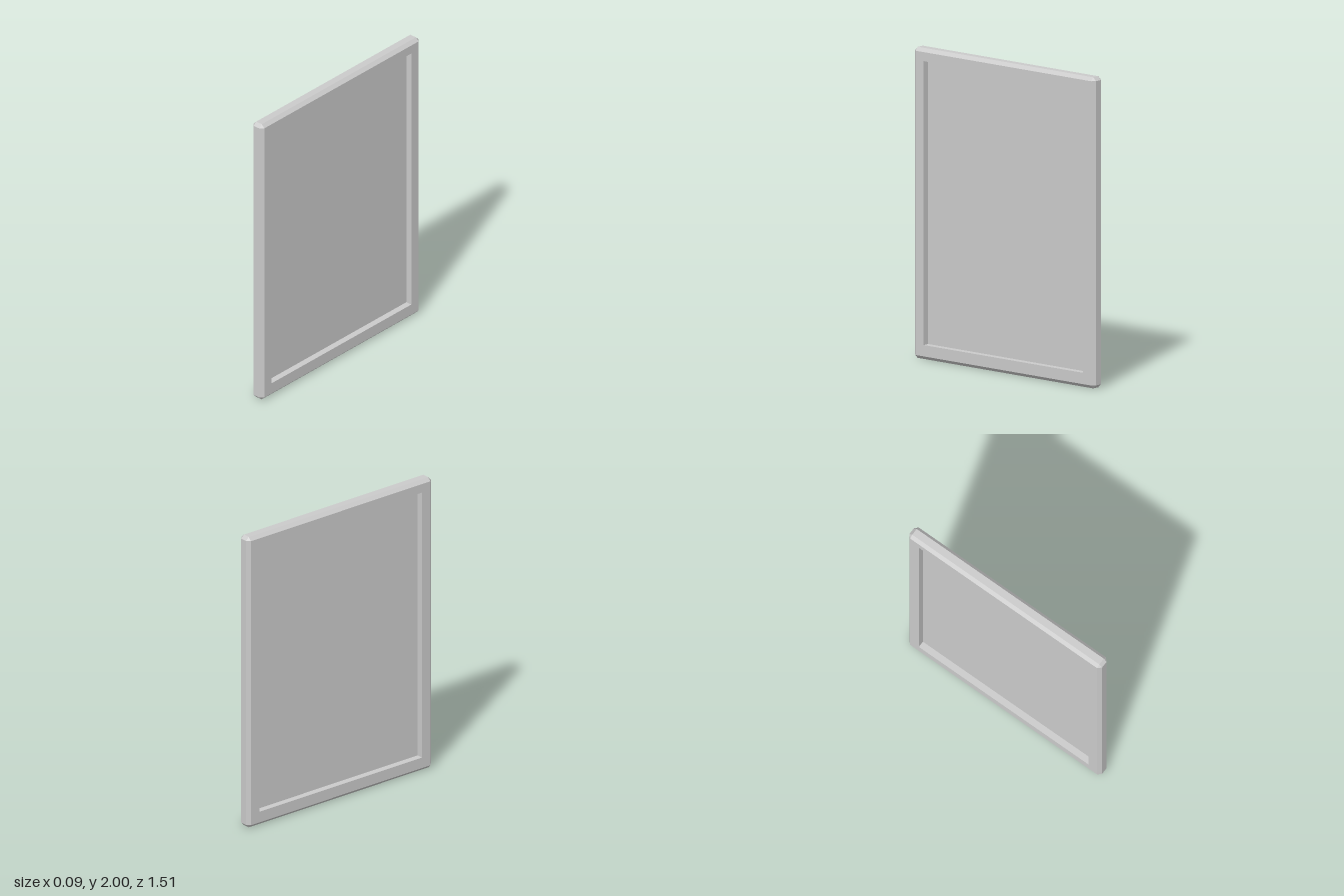
import * as THREE from 'three';

const T = 0.046;        // half thickness
const W = 0.754;        // half width along z
const H = 2;            // height
const B = 0.022;        // bevel size
const HOLE = { x: 0, w: 0.664, y0: 0.095, y1: 1.92, cut: 0 };

// Eight-point outline in the plane x, counter-clockwise seen from +x; cut trims the corners
function outline({ x, w, y0, y1, cut }) {
  return [
    [w - cut, y0], [w, y0 + cut], [w, y1 - cut], [w - cut, y1],
    [cut - w, y1], [-w, y1 - cut], [-w, y0 + cut], [cut - w, y0],
  ].map(([p, y]) => new THREE.Vector3(x, y, -p));
}

// Flat-faced skin joining successive outlines
function loft(rings) {
  const pts = [];
  const tri = new THREE.Triangle();
  const add = (a, b, c) => {
    if (tri.set(a, b, c).getArea() > 1e-8) pts.push(a, b, c);
  };
  for (let i = 0; i < rings.length - 1; i++) {
    const a = rings[i], b = rings[i + 1];
    for (let j = 0; j < a.length; j++) {
      const k = (j + 1) % a.length;
      add(a[j], b[j], b[k]);
      add(a[j], b[k], a[k]);
    }
  }
  const geometry = new THREE.BufferGeometry().setFromPoints(pts);
  geometry.computeVertexNormals();
  return geometry;
}

export function createModel() {
  const group = new THREE.Group();
  group.name = 'framedPanel';
  const material = new THREE.MeshStandardMaterial({ color: 0xcccccc, flatShading: true });

  // Bevelled frame: from inside the opening, around the outer edge and back
  const face = (x) => ({ x, w: W - B, y0: B, y1: H - B, cut: 0 });
  const rim = (x) => ({ x, w: W, y0: 0, y1: H, cut: B });
  const frame = new THREE.Mesh(loft([
    HOLE, { ...HOLE, x: T }, face(T), rim(T - B),
    rim(B - T), face(-T), { ...HOLE, x: -T }, HOLE,
  ].map(outline)), material);
  frame.name = 'frame';
  group.add(frame);

  // Thin pane, recessed from both sides
  const pane = new THREE.Mesh(
    new THREE.BoxGeometry(0.006, HOLE.y1 - HOLE.y0, HOLE.w * 2), material);
  pane.position.y = (HOLE.y0 + HOLE.y1) / 2;
  pane.name = 'pane';
  group.add(pane);

  return group;
}
